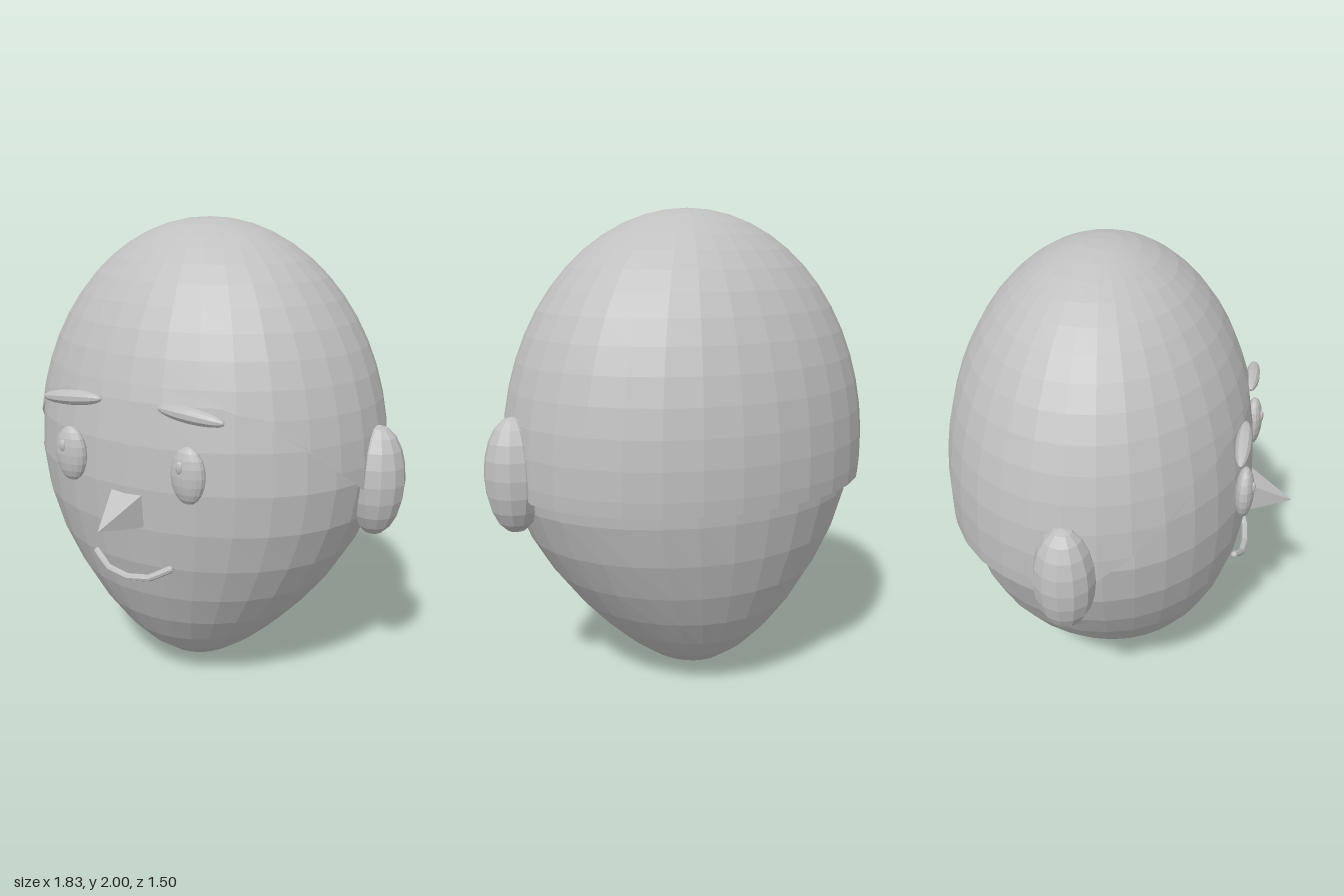
import * as THREE from 'three';

// Split every face so that the shading is faceted
function facet(geometry) {
  const g = geometry.index ? geometry.toNonIndexed() : geometry;
  g.computeVertexNormals();
  return g;
}

// Move each vertex of a geometry by a rule
function reshape(geometry, rule) {
  const p = geometry.attributes.position;
  const v = new THREE.Vector3();
  for (let i = 0; i < p.count; i++) {
    rule(v.fromBufferAttribute(p, i));
    p.setXYZ(i, v.x, v.y, v.z);
  }
  return geometry;
}

// Height of the hairline at depth z: level at the back, curving up to the forehead
function hairline(z) {
  const d = z - 0.04;
  if (d > 0) return 0.96 + 0.72 * d + 0.4 * d * d;
  if (z < -0.19) return 0.88;
  return 0.88 + 0.08 * (z + 0.19) / 0.23;
}

// Egg-shaped head whose width tapers smoothly towards the chin
function headGeometry() {
  return reshape(new THREE.SphereGeometry(1, 32, 18), (v) => {
    const y = 0.993 + 0.988 * v.y;
    const taper = 1 - 0.4 * Math.pow(Math.max(0, 1 - y), 1.7);
    v.set(0.79 * v.x * taper, y, -0.065 + 0.635 * v.z);
  });
}

// Open shell over the skull, cut off at the hairline
function hairGeometry() {
  return reshape(new THREE.SphereGeometry(1, 32, 18, 0, Math.PI * 2, 0, 2.2 * 0.9521), (v) => {
    const theta = Math.acos(THREE.MathUtils.clamp(v.y, -1, 1));
    const phi = Math.atan2(v.z, v.x);
    const depth = (t) => -0.085 + 0.665 * Math.sin(t) * Math.sin(phi);
    let lo = 0.3, hi = 2.2;
    for (let i = 0; i < 30; i++) {
      const mid = (lo + hi) / 2;
      if (1 + Math.cos(mid) > hairline(depth(mid))) lo = mid;
      else hi = mid;
    }
    const t = Math.min(theta, lo);
    v.set(0.806 * Math.sin(t) * Math.cos(phi), 1 + Math.cos(t), depth(t));
  });
}

export function createModel() {
  const model = new THREE.Group();
  model.name = 'head';
  const grey = new THREE.MeshStandardMaterial({ color: 0xc0c0c0, side: THREE.DoubleSide });
  grey.name = 'grey';

  function add(name, geometry, x = 0, y = 0, z = 0) {
    const mesh = new THREE.Mesh(facet(geometry), grey);
    mesh.name = name;
    mesh.position.set(x, y, z);
    model.add(mesh);
    return mesh;
  }
  const ellipsoid = (rx, ry, rz, cols, rows) =>
    new THREE.SphereGeometry(1, cols, rows).scale(rx, ry, rz);

  add('skull', headGeometry());
  add('hair', hairGeometry());

  // Paired features
  for (const [side, s] of [['left', 1], ['right', -1]]) {
    add(side + 'Ear', ellipsoid(0.12, 0.235, 0.122, 12, 10), s * 0.795, 0.97, -0.08);
    add(side + 'Eye', ellipsoid(0.075, 0.115, 0.04, 16, 10), s * 0.28, 1.08, 0.55);
    add(side + 'Pupil', ellipsoid(0.017, 0.026, 0.012, 10, 8), s * 0.28 - 0.017, 1.118, 0.583);
    // Brow: a thin spindle lying sideways, its outer end lower
    const brow = ellipsoid(0.032, 0.147, 0.032, 10, 10).rotateZ(Math.PI / 2);
    add(side + 'Brow', brow, s * 0.28, 1.31, 0.53).rotation.z = -s * 0.08;
  }

  // Four-sided pointed nose, its tip set low
  const nose = new THREE.ConeGeometry(Math.SQRT1_2, 1, 4)
    .rotateY(Math.PI / 4).rotateX(Math.PI / 2).scale(0.15, 0.14, 0.2);
  reshape(nose, (v) => { v.y -= 0.038 * (v.z / 0.2 + 0.5); });
  add('nose', nose, 0, 0.9, 0.655);

  // Smile made of straight rods, lying in a plane that leans forward at the bottom
  const smile = new THREE.CurvePath();
  const points = [[-0.18, 0.662], [-0.1, 0.617], [0, 0.603], [0.1, 0.617], [0.18, 0.662]]
    .map(([x, y]) => new THREE.Vector3(x, y, 0.53 + 0.65 * (0.662 - y)));
  for (let i = 0; i < 4; i++) smile.add(new THREE.LineCurve3(points[i], points[i + 1]));
  add('mouth', new THREE.TubeGeometry(smile, 12, 0.015, 8));
  for (const p of [points[0], points[4]]) {
    add('mouthCorner', ellipsoid(0.015, 0.015, 0.015, 8, 6), p.x, p.y, p.z);
  }

  return model;
}
